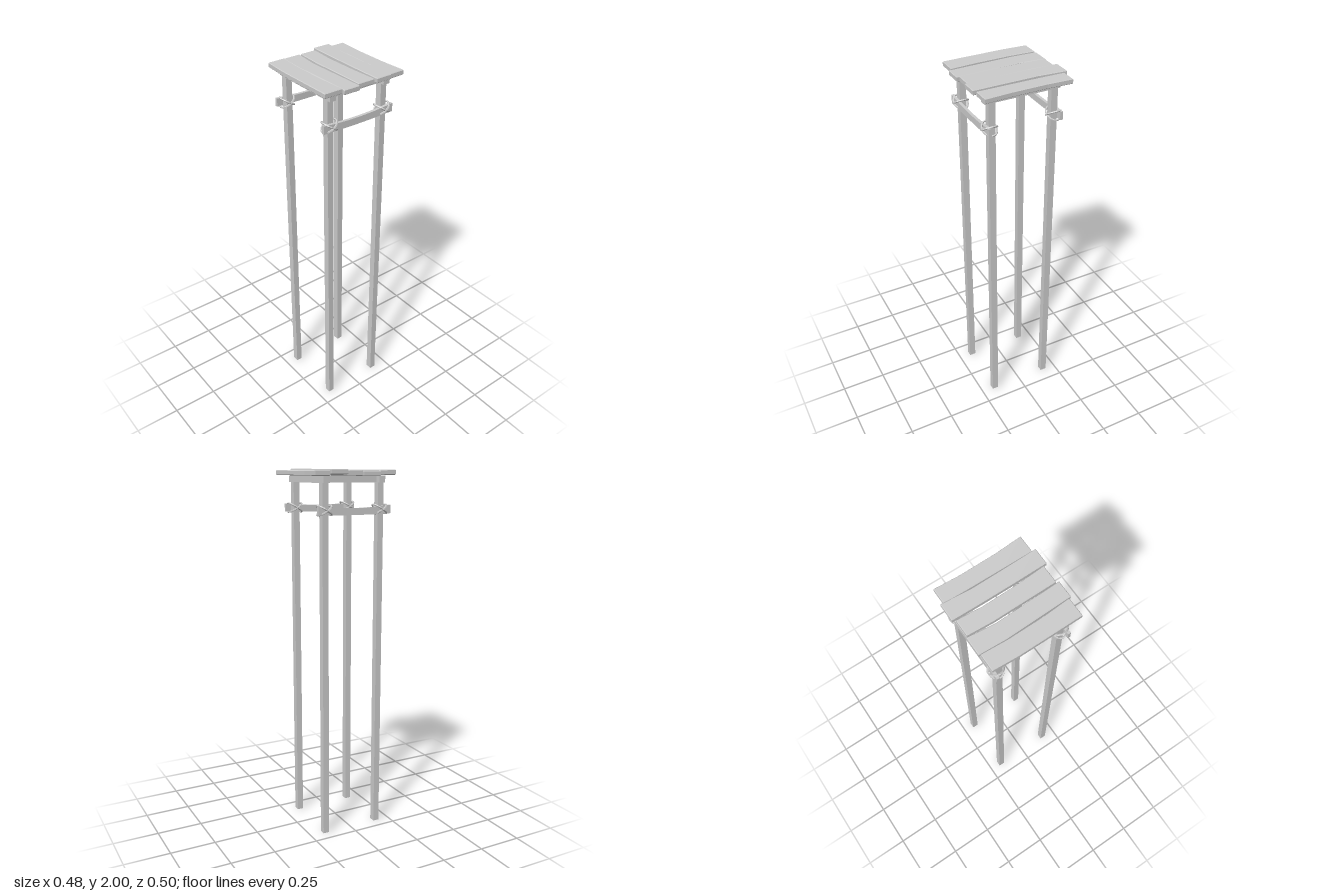
import * as THREE from 'three';

const material = new THREE.MeshStandardMaterial({ color: 0xcccccc, flatShading: true });

export function createModel() {
  const model = new THREE.Group();
  const add = (name, geometry, x = 0, y = 0, z = 0) => {
    const mesh = new THREE.Mesh(geometry, material);
    mesh.name = name;
    mesh.position.set(x, y, z);
    model.add(mesh);
    return mesh;
  };
  const box = (name, w, h, d, x, y, z) => add(name, new THREE.BoxGeometry(w, h, d), x, y, z);

  const legX = [-0.17, 0.157];
  const legZ = [-0.173, 0.167];

  // Four tall square legs
  for (const x of legX) for (const z of legZ) box('leg', 0.034, 1.935, 0.036, x, 0.9675, z);

  // Frame under the top: side beams carry the overhang, cross beams join them
  for (const x of legX) box('sideBeam', 0.036, 0.035, 0.41, x, 1.948, 0);
  for (const z of [-0.16, 0.155]) box('crossBeam', 0.36, 0.032, 0.037, -0.006, 1.948, z);

  // Warped top boards: outline corners from back to front along each edge
  const boards = [
    { z: [-0.236, 0.233], left: [-0.233, -0.24, -0.239, -0.238], right: [-0.142, -0.149, -0.147, -0.138], y: 1.97 },
    { z: [-0.243, 0.246], left: [-0.138, -0.144, -0.138, -0.134], right: [-0.041, -0.055, -0.049, -0.044], y: 1.965 },
    { z: [-0.236, 0.233], left: [-0.036, -0.043, -0.041, -0.04], right: [0.052, 0.043, 0.047, 0.056], y: 1.968 },
    { z: [-0.252, 0.25], left: [0.058, 0.056, 0.056, 0.058], right: [0.152, 0.14, 0.142, 0.145], y: 1.974 },
    { z: [-0.236, 0.233], left: [0.152, 0.149, 0.148, 0.148], right: [0.235, 0.228, 0.23, 0.239], y: 1.967 },
  ];
  const bevel = 0.003;
  for (const { z, left, right, y } of boards) {
    const zs = [z[0], -0.1, 0.09, z[1]];
    const points = [
      ...left.map((x, i) => new THREE.Vector2(x + bevel, -zs[i])),
      ...right.map((x, i) => new THREE.Vector2(x - bevel, -zs[i])).reverse(),
    ];
    for (const p of points) p.y -= Math.abs(p.y) > 0.2 ? Math.sign(p.y) * bevel : 0;
    const geometry = new THREE.ExtrudeGeometry(new THREE.Shape(points), {
      depth: 0.02, bevelThickness: bevel, bevelSize: bevel, bevelSegments: 1,
    });
    geometry.rotateX(-Math.PI / 2);
    add('topBoard', geometry, 0, y + bevel, 0);
  }

  // Thin sagging braces lashed to the outer faces of the legs
  for (const side of [-1, 1]) {
    const z = side < 0 ? legZ[0] : legZ[1];
    const geometry = new THREE.BoxGeometry(0.427, 0.044, 0.016, 6, 1, 1);
    const pos = geometry.attributes.position;
    for (let i = 0; i < pos.count; i++) {
      const middle = 1 - (pos.getX(i) / 0.2135) ** 2;
      pos.setY(i, pos.getY(i) * (1 - 0.2 * middle) - 0.008 * middle);
    }
    geometry.computeVertexNormals();
    add('brace', geometry, -0.008, 1.794, z + side * 0.026);

    // Two crossed rope loops around each joint
    for (const x of legX) for (const tilt of [-1, 1]) {
      const loop = [];
      for (let i = 0; i < 12; i++) {
        const a = (i / 12) * Math.PI * 2;
        loop.push(new THREE.Vector3(0.038 * Math.cos(a), tilt * 0.024 * Math.cos(a), 0.038 * Math.sin(a)));
      }
      const curve = new THREE.CatmullRomCurve3(loop, true);
      add('ropeLashing', new THREE.TubeGeometry(curve, 16, 0.005, 5, true), x, 1.794, z + side * 0.007);
    }
  }
  return model;
}
